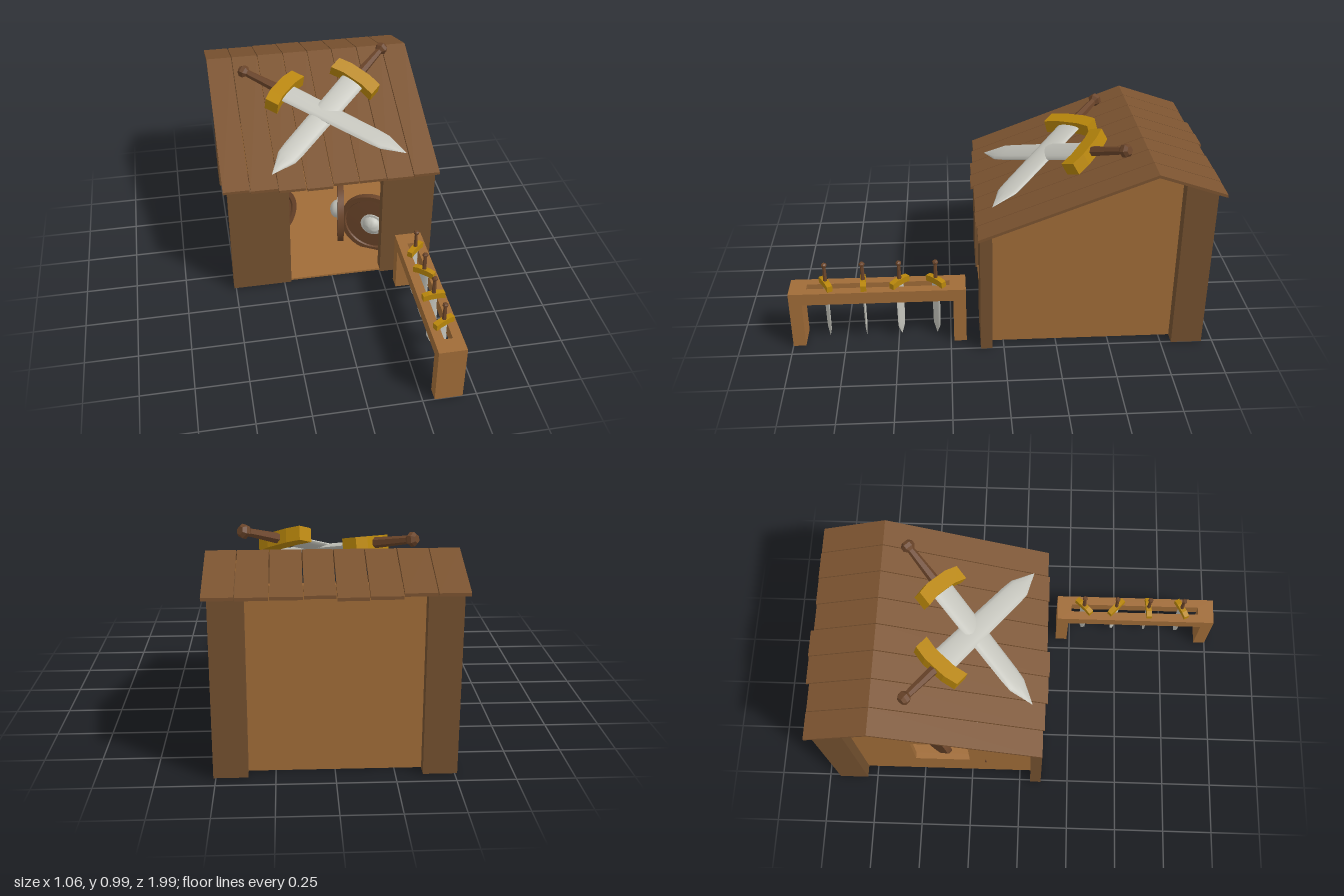
import * as THREE from 'three';
import { toCreasedNormals } from 'three/addons/utils/BufferGeometryUtils.js';

const mat = (name, color) => {
  const m = new THREE.MeshStandardMaterial({ color });
  m.name = name;
  return m;
};

export function createModel() {
  const model = new THREE.Group();
  const lightWood = mat('light wood', 0xa06c38);
  const postWood = mat('post wood', 0x73502f);
  const roofWood = mat('roof wood', 0x7b5330);
  const gripWood = mat('grip wood', 0x6b452a);
  const gold = mat('gold', 0xb8860b);
  const steel = mat('steel', 0xc4c4bc);

  const add = (parent, name, geo, material) => {
    const mesh = new THREE.Mesh(geo, material);
    mesh.name = name;
    parent.add(mesh);
    return mesh;
  };
  // box from its minimum and maximum corners
  const block = (parent, name, material, x0, x1, y0, y1, z0, z1) => {
    const mesh = add(parent, name, new THREE.BoxGeometry(x1 - x0, y1 - y0, z1 - z0), material);
    mesh.position.set((x0 + x1) / 2, (y0 + y1) / 2, (z0 + z1) / 2);
    return mesh;
  };
  const outline = (pts) => pts.map(([a, b]) => new THREE.Vector2(a, b));
  // side profile given as [z, y], extruded from x0 to x1
  const slab = (parent, name, material, pts, x0, x1, hole) => {
    const shape = new THREE.Shape(outline(pts));
    if (hole) shape.holes.push(new THREE.Path(outline(hole)));
    const geo = new THREE.ExtrudeGeometry(shape, { depth: x1 - x0, bevelEnabled: false });
    geo.rotateY(-Math.PI / 2).translate(x1, 0, 0);
    return add(parent, name, geo, material);
  };

  // height of the roof surface at a given z
  const ridge = -0.67;
  const roofY = (z) => 0.91 - (z > ridge ? 0.383 * (z - ridge) : 0.338 * (ridge - z));
  const under = (z) => roofY(z) - 0.013;

  // hut: posts, walls and floor
  const hut = new THREE.Group();
  hut.name = 'hut';
  model.add(hut);
  const post = (name, x0, x1, z0, z1) =>
    slab(hut, name, postWood, [[z0, 0.004], [z1, 0.004], [z1, under(z1)], [z0, under(z0)]], x0, x1);
  post('frontPostRight', -0.51, -0.215, 0.055, 0.11);
  post('frontPostLeft', 0.25, 0.51, 0.055, 0.11);
  post('backPostRight', -0.51, -0.365, -0.945, -0.8);
  post('backPostLeft', 0.365, 0.51, -0.945, -0.8);

  const gable = [[-0.89, 0.008], [0.06, 0.008], [0.06, under(0.06)], [ridge, under(ridge)], [-0.89, under(-0.89)]];
  slab(hut, 'leftWall', lightWood, gable, 0.42, 0.45);
  slab(hut, 'windowWall', lightWood, gable, -0.45, -0.42,
    [[-0.53, 0.2], [-0.53, 0.48], [-0.255, 0.48], [-0.255, 0.2]]);
  block(hut, 'backWall', lightWood, -0.42, 0.42, 0.008, 0.823, -0.89, -0.86);
  block(hut, 'floor', lightWood, -0.45, 0.45, 0.006, 0.016, -0.89, 0.1);

  // roof planks with ragged eaves
  const edges = [-0.53, -0.4, -0.265, -0.13, 0, 0.13, 0.265, 0.4, 0.53];
  const frontEave = [0.11, 0.118, 0.13, 0.135, 0.122, 0.122, 0.125, 0.118];
  const backEave = [-0.97, -0.968, -0.985, -0.99, -0.975, -0.98, -0.982, -0.98];
  const t = 0.014;
  frontEave.forEach((f, i) => {
    const b = backEave[i];
    slab(hut, 'roofPlank', roofWood, [
      [f, roofY(f) - t], [f, roofY(f)], [ridge, roofY(ridge)], [b, roofY(b)],
      [b, roofY(b) - t], [ridge, roofY(ridge) - t],
    ], edges[i] + (i ? 0.002 : 0), edges[i + 1] - (i < 7 ? 0.002 : 0));
  });

  // sword of unit length, point down, guard at the origin
  const bladeGeo = new THREE.CylinderGeometry(1, 1, 0.73, 16, 12);
  const p = bladeGeo.attributes.position;
  for (let i = 0; i < p.count; i++) {
    const y = p.getY(i) - 0.365;
    const w = y > -0.6 ? 1 + 0.2 * y : 0.88 * Math.max(0.01, (y + 0.73) / 0.13);
    p.setXYZ(i, p.getX(i) * 0.064 * w, y, p.getZ(i) * 0.016 * w);
  }
  const blade = toCreasedNormals(bladeGeo, 0.6);
  const guardGeo = new THREE.ExtrudeGeometry(new THREE.Shape(outline([
    [-0.13, -0.05], [-0.06, -0.035], [0.06, -0.035], [0.13, -0.05],
    [0.13, 0.025], [0.06, 0.04], [-0.06, 0.04], [-0.13, 0.025],
  ])), { depth: 0.065, bevelEnabled: false }).translate(0, 0, -0.0325);
  const gripGeo = toCreasedNormals(new THREE.LatheGeometry(outline([
    [0, 0.02], [0.026, 0.02], [0.019, 0.215], [0.033, 0.23], [0.033, 0.25], [0.02, 0.265], [0, 0.265],
  ]), 6), 0.4);
  const sword = (name, parent) => {
    const g = new THREE.Group();
    g.name = name;
    add(g, 'blade', blade, steel);
    add(g, 'guard', guardGeo, gold);
    add(g, 'grip', gripGeo, gripWood);
    parent.add(g);
    return g;
  };

  // crossed swords on the roof: [pommel, point, facing]
  [
    [[-0.37, 0.912, -0.53], [0.38, 0.69, 0.05], [0, 0.97, 0.2]],
    [[0.39, 0.965, -0.56], [-0.29, 0.65, 0.06], [0, 0.85, 0.5]],
  ].forEach(([a, b, n]) => {
    const top = new THREE.Vector3(...a), tip = new THREE.Vector3(...b);
    const yAxis = top.clone().sub(tip);
    const length = yAxis.length();
    yAxis.normalize();
    const xAxis = yAxis.clone().cross(new THREE.Vector3(...n)).normalize();
    const zAxis = xAxis.clone().cross(yAxis);
    const s = sword('roofSword', model);
    s.quaternion.setFromRotationMatrix(new THREE.Matrix4().makeBasis(xAxis, yAxis, zAxis));
    s.position.copy(top).lerp(tip, 0.265);
    s.scale.setScalar(length);
  });

  // sword rack with a slotted top
  const rack = new THREE.Group();
  rack.name = 'swordRack';
  model.add(rack);
  block(rack, 'rackLegFront', lightWood, 0.305, 0.435, 0, 0.23, 0.94, 1);
  block(rack, 'rackLegBack', lightWood, 0.305, 0.435, 0, 0.23, 0.175, 0.235);
  const topShape = new THREE.Shape(outline([[0.305, -1], [0.435, -1], [0.435, -0.175], [0.305, -0.175]]));
  topShape.holes.push(new THREE.Path(outline([[0.35, -0.92], [0.35, -0.25], [0.39, -0.25], [0.39, -0.92]])));
  const topGeo = new THREE.ExtrudeGeometry(topShape, { depth: 0.06, bevelEnabled: false });
  add(rack, 'rackTop', topGeo.rotateX(-Math.PI / 2).translate(0, 0.23, 0), lightWood);
  [[0.315, 0.78], [0.485, -0.75], [0.655, 0.08], [0.83, 0.48]].forEach(([z, yaw]) => {
    const s = sword('rackSword', rack);
    s.position.set(0.373, 0.309, z);
    s.rotation.y = yaw;
    s.scale.setScalar(0.41);
  });

  // round shields with a raised rim and a steel boss
  const discGeo = toCreasedNormals(new THREE.LatheGeometry(outline([
    [0, -0.014], [0.175, -0.014], [0.175, 0.018], [0.15, 0.018], [0.145, 0.01], [0, 0.014],
  ]), 40).rotateX(Math.PI / 2), 0.5);
  const bossGeo = toCreasedNormals(new THREE.LatheGeometry(outline([
    [0.062, 0.01], [0.062, 0.019], [0.05, 0.02], [0.044, 0.036], [0.03, 0.049], [0.015, 0.055], [0, 0.057],
  ]), 24).rotateX(Math.PI / 2), 0.7);
  [[-0.29, -0.24, 0.45], [-0.3, -0.5, 0.9], [0.25, -0.08, -0.5], [0.105, -0.23, -1.74]].forEach(([x, z, yaw]) => {
    const shield = new THREE.Group();
    shield.name = 'shield';
    add(shield, 'shieldDisc', discGeo, gripWood);
    add(shield, 'shieldBoss', bossGeo, steel);
    shield.position.set(x, 0.18, z);
    shield.rotation.y = yaw;
    model.add(shield);
  });

  return model;
}
